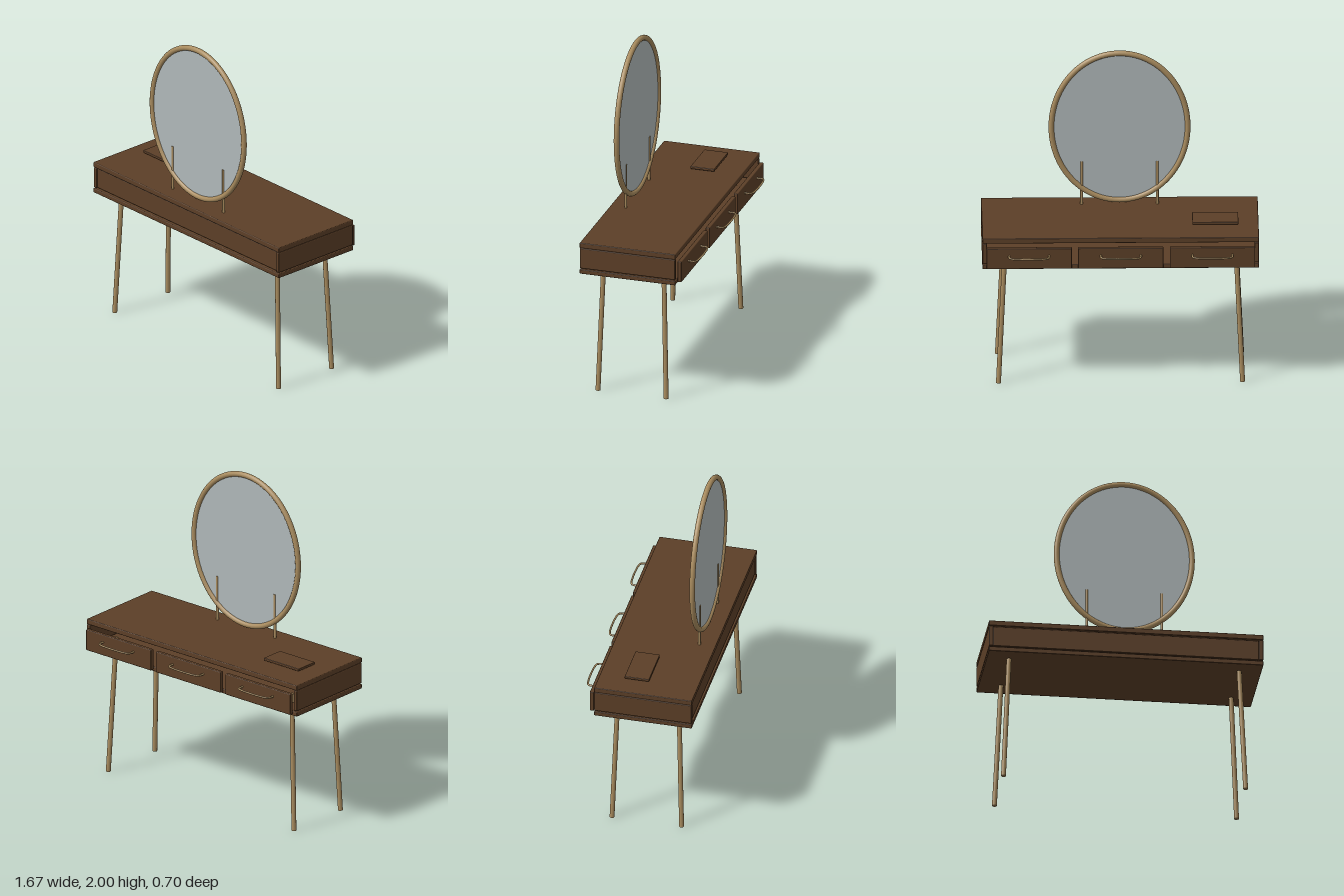
import * as THREE from 'three';
import { RoundedBoxGeometry } from 'three/addons/geometries/RoundedBoxGeometry.js';

const mat = (name, color, side = THREE.FrontSide) => {
  const m = new THREE.MeshStandardMaterial({ color, side });
  m.name = name;
  return m;
};

export function createModel() {
  const group = new THREE.Group();
  group.name = 'vanityTable';
  const wood = mat('darkWood', 0x5c3f27);
  const brass = mat('brass', 0xa88b5e);
  const glass = mat('mirrorGlass', 0xb0b8b9, THREE.DoubleSide);

  const add = (name, geometry, material) => {
    const mesh = new THREE.Mesh(geometry, material);
    mesh.name = name;
    group.add(mesh);
    return mesh;
  };
  // rounded board given by its min and max on each axis
  const board = (name, x0, x1, y0, y1, z0, z1, r = 0.005) => {
    const g = new RoundedBoxGeometry(x1 - x0, y1 - y0, z1 - z0, 2, r);
    g.translate((x0 + x1) / 2, (y0 + y1) / 2, (z0 + z1) / 2);
    return add(name, g, wood);
  };
  // round rod between two points
  const rod = (name, a, b, r) => {
    const d = b.clone().sub(a);
    const mesh = add(name, new THREE.CylinderGeometry(r, r, d.length(), 16), brass);
    mesh.position.copy(a).add(b).multiplyScalar(0.5);
    mesh.quaternion.setFromUnitVectors(new THREE.Vector3(0, 1, 0), d.normalize());
    return mesh;
  };

  // hollow cabinet, open behind the drawer fronts
  board('tableTop', -0.833, 0.833, 0.957, 0.99, -0.256, 0.349);
  board('bottomBoard', -0.833, 0.833, 0.789, 0.818, -0.256, 0.349);
  for (const s of [-1, 1]) {
    board('sidePanel', s * 0.819 - 0.013, s * 0.819 + 0.013, 0.824, 0.955, -0.255, 0.348);
  }
  board('longPanel', -0.806, 0.806, 0.826, 0.954, 0.316, 0.341);

  // three drawer fronts with bow handles
  const bow = [[-0.12, -0.28], [-0.12, -0.315], [-0.113, -0.331], [-0.09, -0.339], [-0.045, -0.343], [0, -0.344],
    [0.045, -0.343], [0.09, -0.339], [0.113, -0.331], [0.12, -0.315], [0.12, -0.28]];
  for (const x of [-0.552, 0, 0.552]) {
    board('drawerFront', x - 0.257, x + 0.257, 0.804, 0.938, -0.289, -0.263);
    const path = new THREE.CatmullRomCurve3(bow.map(([px, pz]) => new THREE.Vector3(x + px, 0.891, pz)));
    add('drawerHandle', new THREE.TubeGeometry(path, 40, 0.006, 8), brass);
  }

  // splayed legs, their tops passing into the cabinet
  for (const s of [-1, 1]) {
    for (const [zFoot, zTop] of [[0.263, 0.237], [-0.168, -0.14]]) {
      rod('leg', new THREE.Vector3(s * 0.735, 0.001, zFoot), new THREE.Vector3(s * 0.695, 0.87, zTop), 0.0148);
    }
    // mirror support
    rod('mirrorPost', new THREE.Vector3(s * 0.228, 0.98, 0.25), new THREE.Vector3(s * 0.228, 1.272, 0.25), 0.0085);
  }

  // oval mirror frame
  const oval = new THREE.CatmullRomCurve3(Array.from({ length: 48 }, (_, i) => {
    const a = (i / 48) * Math.PI * 2;
    return new THREE.Vector3(Math.cos(a) * 0.411, 1.5 + Math.sin(a) * 0.483, 0.25);
  }), true);
  add('mirrorFrame', new THREE.TubeGeometry(oval, 96, 0.017, 14, true), brass);

  // mirror pane
  const pane = add('mirrorPane', new THREE.CylinderGeometry(1, 1, 0.006, 64), glass);
  pane.rotation.x = Math.PI / 2;
  pane.scale.set(0.405, 1, 0.477);
  pane.position.set(0, 1.5, 0.25);

  // small tray lying on the top
  board('tray', -0.711, -0.434, 1.003, 1.019, -0.096, 0.055, 0.003);

  return group;
}
